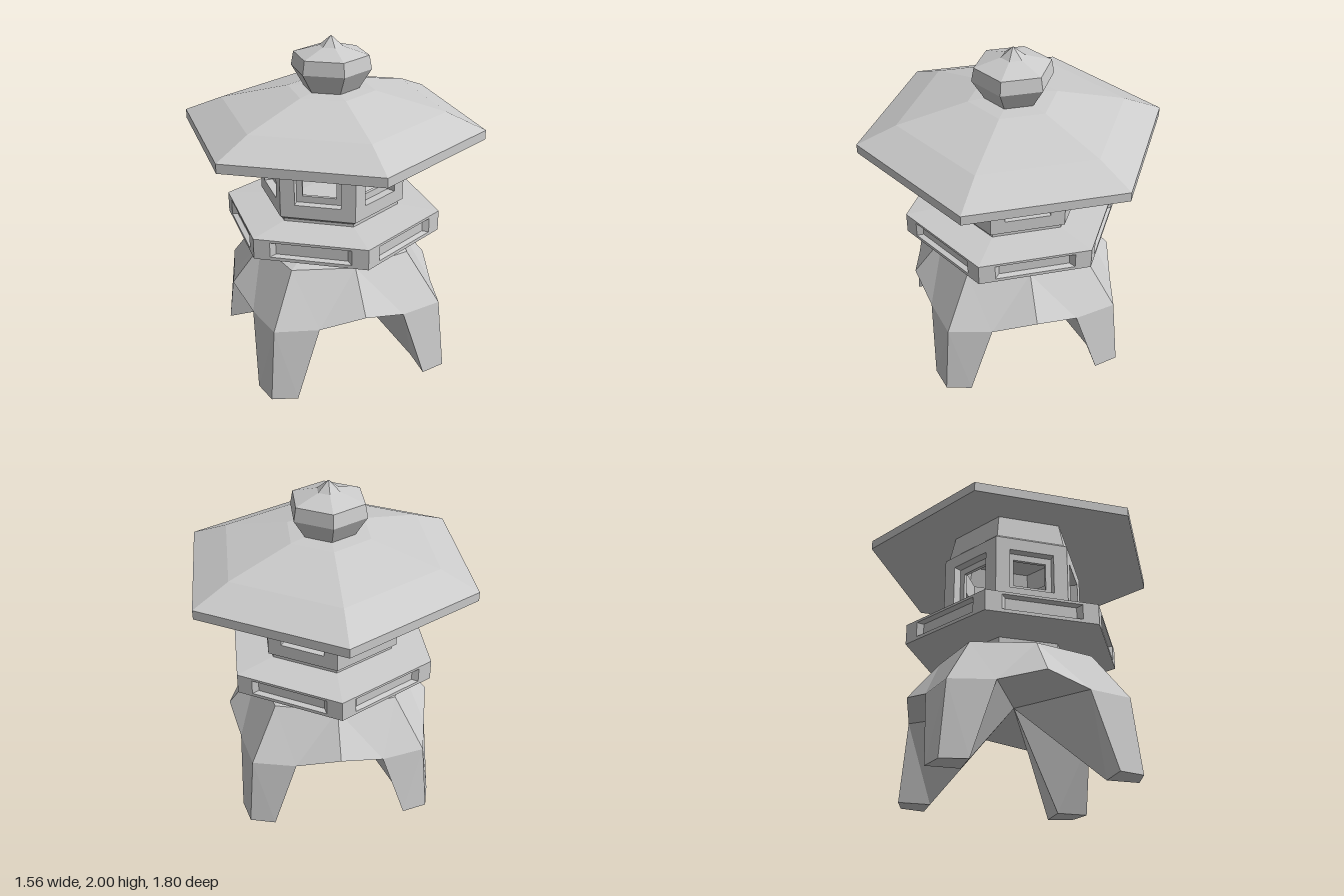
import * as THREE from 'three';

const stone = new THREE.MeshStandardMaterial({ color: 0xcccccc, flatShading: true });
const stoneThin = new THREE.MeshStandardMaterial({ color: 0xcccccc, flatShading: true, side: THREE.DoubleSide });
const COS30 = Math.cos(Math.PI / 6);

function mesh(name, geometry, material = stone) {
  const m = new THREE.Mesh(geometry, material);
  m.name = name;
  return m;
}

// Six-sided solid from [corner radius, y] pairs, listed upward on the outside
function hexLathe(name, profile, material) {
  const points = profile.map(([r, y]) => new THREE.Vector2(r, y));
  return mesh(name, new THREE.LatheGeometry(points, 6), material);
}

function fromTriangles(triangles) {
  const g = new THREE.BufferGeometry();
  g.setAttribute('position', new THREE.Float32BufferAttribute(triangles.flat(2), 3));
  g.computeVertexNormals();
  return g;
}

// Wall made of nested rectangles [half width, bottom, top, distance from axis]
function nestedWall(rings, capped) {
  const loops = rings.map(([w, b, t, z]) => [[-w, b, z], [w, b, z], [w, t, z], [-w, t, z]]);
  const tris = [];
  const quad = (a, b, c, d) => tris.push([a, b, c], [a, c, d]);
  for (let k = 0; k + 1 < loops.length; k++) {
    for (let i = 0; i < 4; i++) {
      const j = (i + 1) % 4;
      quad(loops[k][i], loops[k][j], loops[k + 1][j], loops[k + 1][i]);
    }
  }
  if (capped) quad(...loops[loops.length - 1]);
  return fromTriangles(tris);
}

function sixSides(name, geometry) {
  const group = new THREE.Group();
  group.name = name;
  for (let i = 0; i < 6; i++) {
    const side = mesh(name + 'Side', geometry);
    side.rotation.y = Math.PI / 6 + i * Math.PI / 3;
    group.add(side);
  }
  return group;
}

// Four-legged base: one eighth is defined, then mirrored and turned
function legBase() {
  const crown = [0, 0.765, 0], topMid = [0, 0.765, 0.28], topCorner = [0.2, 0.785, 0.2];
  const rimMid = [0, 0.735, 0.45], rimCorner = [0.36, 0.735, 0.36];
  const arch = [0, 0.505, 0.635], knee = [0.515, 0.44, 0.515], kneeEdge = [0.26, 0.44, 0.575];
  const footEdge = [0.4, 0, 0.59], footCorner = [0.55, 0, 0.55], footInner = [0.4, 0, 0.4];
  const vault = [0, 0.505, 0];
  const eighth = [
    [arch, kneeEdge, rimMid], [kneeEdge, knee, rimCorner], [kneeEdge, rimCorner, rimMid],
    [footEdge, footCorner, knee], [footEdge, knee, kneeEdge],
    [rimMid, rimCorner, topCorner], [rimMid, topCorner, topMid], [topMid, topCorner, crown],
    [footEdge, footInner, footCorner],
    [footEdge, kneeEdge, footInner], [kneeEdge, vault, footInner], [kneeEdge, arch, vault],
  ];
  const mirrored = eighth.map(t => t.map(([x, y, z]) => [z, y, x]).reverse());
  let quarter = [...eighth, ...mirrored];
  const all = [];
  for (let i = 0; i < 4; i++) {
    all.push(...quarter);
    quarter = quarter.map(t => t.map(([x, y, z]) => [z, y, -x]));
  }
  return mesh('legBase', fromTriangles(all));
}

export function createModel() {
  const model = new THREE.Group();
  model.name = 'stoneLantern';

  model.add(legBase());
  model.add(hexLathe('neck', [[0, 0.72], [0.35, 0.72], [0.35, 0.82], [0, 0.82]]));

  // Platform with a sunken panel on every side
  const R = 0.66, A = R * COS30;
  model.add(hexLathe('platformUnderside', [[0, 0.81], [0.35, 0.812], [R, 0.835]]));
  model.add(hexLathe('platformTop', [[R, 0.96], [0.23, 1.0], [0, 1.0]]));
  model.add(sixSides('platformPanels', nestedWall([
    [R / 2, 0.835, 0.96, A],
    [0.235, 0.855, 0.945, A],
    [0.208, 0.863, 0.935, A - 0.03],
  ], true)));

  // Hollow light chamber with stepped windows
  const r = 0.44, a = r * COS30;
  model.add(sixSides('chamberWindows', nestedWall([
    [r / 2, 1.02, 1.425, a],
    [0.135, 1.1, 1.35, a],
    [0.135, 1.1, 1.35, a - 0.05],
    [0.1, 1.14, 1.31, a - 0.05],
    [0.1, 1.14, 1.31, a - 0.07],
    [(a - 0.07) / Math.sqrt(3), 0.99, 1.45, a - 0.07],
  ], false)));
  model.add(hexLathe('chamberFoot', [[0.41, 0.98], [0.41, 1.0], [r, 1.02]], stoneThin));
  model.add(hexLathe('chamberCollar', [[r, 1.425], [0.415, 1.445], [0.38, 1.6]], stoneThin));

  // Roof shell with a broken slope and a hollow underside
  model.add(hexLathe('roof', [
    [0, 1.61], [0.37, 1.6], [0.56, 1.55], [0.9, 1.44], [0.9, 1.495],
    [0.67, 1.59], [0.26, 1.69], [0.15, 1.7], [0, 1.7],
  ]));

  // Finial
  model.add(hexLathe('finial', [
    [0.16, 1.69], [0.237, 1.815], [0.222, 1.895], [0.07, 1.94], [0, 2.0],
  ]));

  return model;
}
